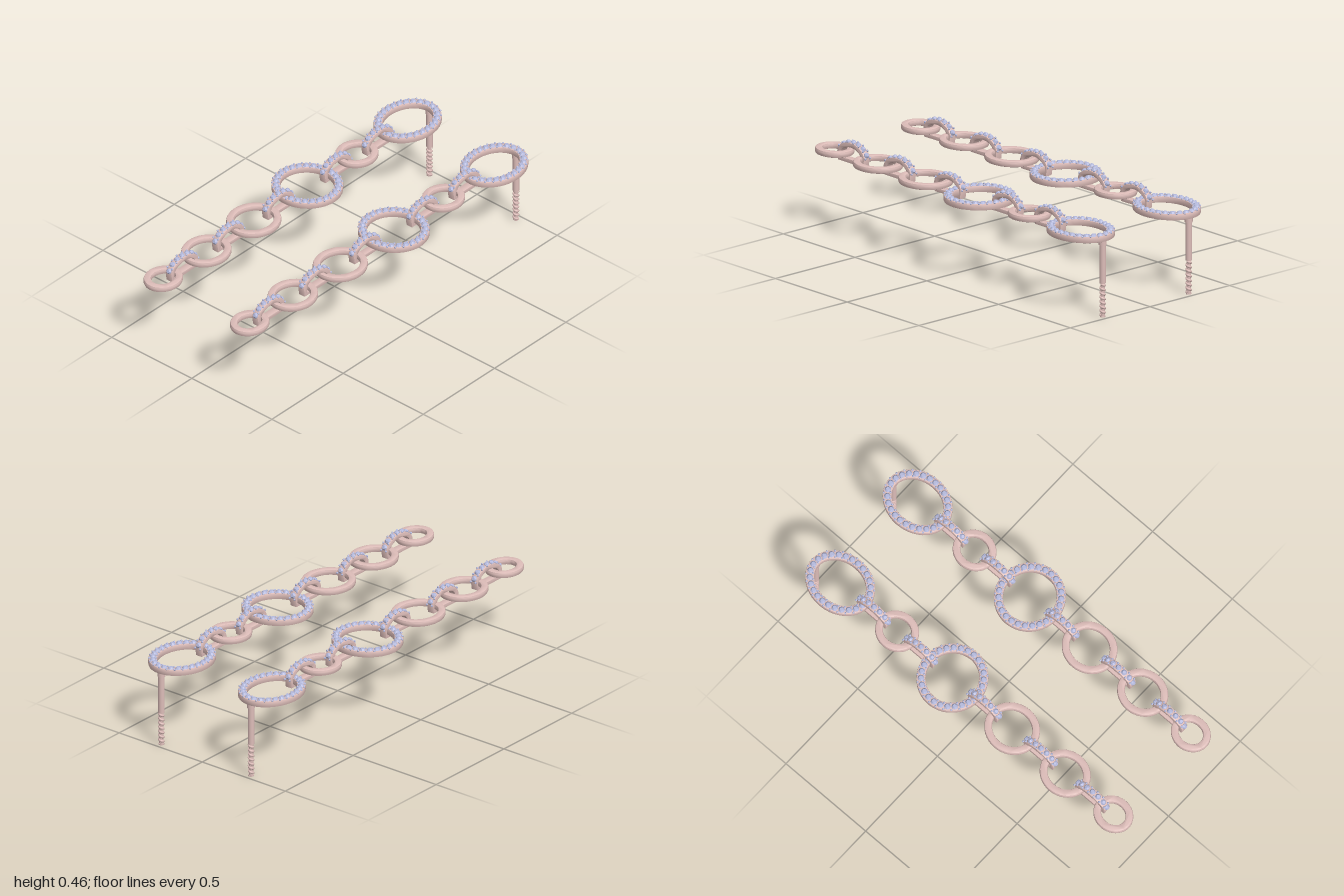
import * as THREE from 'three';
import { mergeGeometries, toCreasedNormals } from 'three/addons/utils/BufferGeometryUtils.js';

const metal = new THREE.MeshStandardMaterial({ color: 0xdcbcb8 });
const stone = new THREE.MeshStandardMaterial({ color: 0xb4b9dc, flatShading: true });

const RING_BOTTOM = 0.372;
const POST_Z = -0.97;

// centre z, half width, half length, set with stones
const rings = [
  [-0.817, 0.145, 0.176, true],
  [-0.46, 0.098, 0.106, false],
  [-0.113, 0.17, 0.166, true],
  [0.262, 0.124, 0.135, false],
  [0.595, 0.112, 0.125, false],
  [0.897, 0.087, 0.098, false],
];
const linkCentres = [-0.605, -0.31, 0.092, 0.443, 0.766];

function part(name, geometry, material) {
  const mesh = new THREE.Mesh(geometry, material);
  mesh.name = name;
  return mesh;
}

function bevelled(shape, depth, bevel) {
  const geo = new THREE.ExtrudeGeometry(shape, {
    depth: depth - 2 * bevel, bevelThickness: bevel, bevelSize: bevel,
    bevelOffset: -bevel, bevelSegments: 2, curveSegments: 20,
  });
  geo.translate(0, 0, bevel);
  return toCreasedNormals(geo, 0.7);
}

// Faceted stones at points along a curve, with a pair of prong beads after each one
function setStones(group, spots, radius, halfWidth) {
  const gems = [], prongs = [];
  for (const { pos, normal, along } of spots) {
    const side = new THREE.Vector3().crossVectors(along, normal);
    const frame = new THREE.Matrix4().makeBasis(along, normal, side).setPosition(pos);
    const crown = new THREE.CylinderGeometry(radius * 0.55, radius, 0.009, 8);
    const girdle = new THREE.CylinderGeometry(radius, radius * 0.8, 0.008, 8);
    crown.translate(0, 0.0055, 0);
    girdle.translate(0, -0.003, 0);
    for (const g of [crown, girdle]) gems.push(g.applyMatrix4(frame));
    for (const s of [-1, 1]) {
      const bead = new THREE.SphereGeometry(0.0055, 7, 5);
      bead.translate(radius * 1.1, 0.002, s * halfWidth);
      prongs.push(bead.applyMatrix4(frame));
    }
  }
  group.add(part('stones', mergeGeometries(gems), stone));
  group.add(part('prongs', mergeGeometries(prongs), stone));
}

function makeRing([z, rx, rz, paved]) {
  const group = new THREE.Group();
  group.name = paved ? 'pavedRing' : 'plainRing';
  const width = paved ? 0.042 : 0.036;
  const shape = new THREE.Shape().absellipse(0, 0, rx, rz, 0, Math.PI * 2);
  shape.holes.push(new THREE.Path().absellipse(0, 0, rx - width, rz - width, 0, Math.PI * 2, true));
  const band = bevelled(shape, 0.03, paved ? 0.004 : 0.009);
  band.rotateX(-Math.PI / 2);
  group.add(part('band', band, metal));
  if (paved) {
    const mid = new THREE.EllipseCurve(0, 0, rx - width / 2, rz - width / 2);
    const count = Math.round(mid.getLength() / 0.034);
    const spots = [];
    for (let i = 0; i < count; i++) {
      const p = mid.getPointAt(i / count), t = mid.getTangentAt(i / count);
      spots.push({
        pos: new THREE.Vector3(p.x, 0.029, p.y),
        normal: new THREE.Vector3(0, 1, 0),
        along: new THREE.Vector3(t.x, 0, t.y),
      });
    }
    setStones(group, spots, 0.016, 0.0155);
  }
  group.position.set(0, RING_BOTTOM, z);
  return group;
}

// D-shaped link: flat bar below, arch of stones above
function makeLink(z) {
  const group = new THREE.Group();
  group.name = 'connectorLink';
  const half = 0.094, spring = 0.392, rise = 0.06, thick = 0.025, width = 0.038;
  const outer = new THREE.Shape();
  outer.moveTo(-half + 0.006, 0.353);
  outer.lineTo(half - 0.006, 0.353);
  outer.lineTo(half, spring);
  outer.absellipse(0, spring, half, rise, 0, Math.PI);
  outer.closePath();
  const hole = new THREE.Path();
  hole.moveTo(-half + thick, 0.372);
  hole.lineTo(half - thick, 0.372);
  hole.lineTo(half - thick, spring);
  hole.absellipse(0, spring, half - thick, rise - 0.022, 0, Math.PI);
  hole.closePath();
  outer.holes.push(hole);
  const body = bevelled(outer, width, 0.003);
  body.translate(0, 0, -width / 2);
  body.rotateY(-Math.PI / 2);
  group.add(part('linkBody', body, metal));

  const arch = new THREE.EllipseCurve(0, spring, half, rise, 0, Math.PI);
  const spots = [];
  for (let i = 0; i < 7; i++) {
    const u = (i + 0.5) / 7;
    const p = arch.getPointAt(u), t = arch.getTangentAt(u);
    spots.push({
      pos: new THREE.Vector3(0, p.y, p.x),
      normal: new THREE.Vector3(0, -t.x, t.y),
      along: new THREE.Vector3(0, t.y, t.x),
    });
  }
  setStones(group, spots, 0.0145, 0.0145);
  group.position.z = z;
  return group;
}

function makePost() {
  const group = new THREE.Group();
  group.name = 'post';
  const cylinder = (name, radius, y0, y1) => {
    const mesh = part(name, new THREE.CylinderGeometry(radius, radius, y1 - y0, 20), metal);
    mesh.position.y = (y0 + y1) / 2;
    group.add(mesh);
  };
  cylinder('collar', 0.019, 0.352, 0.376);
  cylinder('shaft', 0.0155, 0.165, 0.353);
  cylinder('threadCore', 0.0105, 0.001, 0.166);
  cylinder('tip', 0.0135, 0, 0.006);

  // Screw thread
  const points = [];
  const turns = 7, steps = 12;
  for (let i = 0; i <= turns * steps; i++) {
    const a = (i / steps) * Math.PI * 2;
    points.push(new THREE.Vector3(
      0.0095 * Math.cos(a), 0.007 + 0.154 * i / (turns * steps), 0.0095 * Math.sin(a)));
  }
  const helix = new THREE.CatmullRomCurve3(points);
  group.add(part('thread', new THREE.TubeGeometry(helix, 140, 0.0065, 8), metal));
  group.position.z = POST_Z;
  return group;
}

function makeEarring() {
  const earring = new THREE.Group();
  rings.forEach((r) => earring.add(makeRing(r)));
  linkCentres.forEach((z) => earring.add(makeLink(z)));
  earring.add(makePost());
  return earring;
}

export function createModel() {
  const model = new THREE.Group();
  model.name = 'chainEarrings';
  const left = makeEarring();
  const right = left.clone();
  left.name = 'leftEarring';
  right.name = 'rightEarring';
  left.position.x = 0.27;
  right.position.x = -0.27;
  model.add(left, right);
  return model;
}
